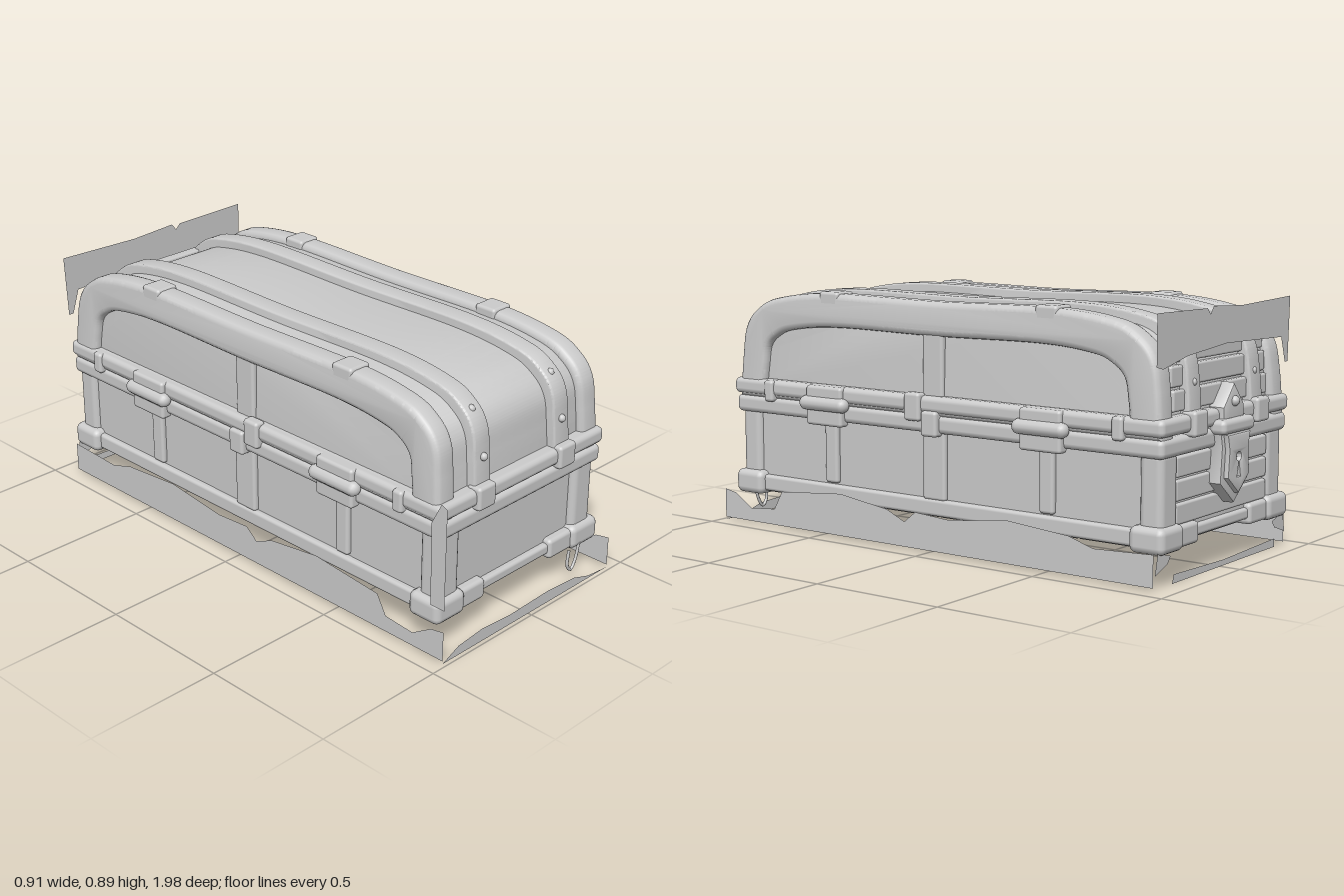
import * as THREE from 'three';
import { RoundedBoxGeometry } from 'three/addons/geometries/RoundedBoxGeometry.js';
import { toCreasedNormals } from 'three/addons/utils/BufferGeometryUtils.js';

const mat = new THREE.MeshStandardMaterial({ color: 0xcccccc });
const thin = new THREE.MeshStandardMaterial({ color: 0xcccccc, side: THREE.DoubleSide });

// Lid arch, as [z, y]
const ARCH = [[0.925, 0.5], [0.915, 0.64], [0.9, 0.745], [0.85, 0.81], [0.75, 0.855], [0.5, 0.882], [0, 0.877],
  [-0.5, 0.882], [-0.75, 0.855], [-0.85, 0.81], [-0.905, 0.745], [-0.925, 0.64], [-0.935, 0.5]];

function archPoints(inset, yBase = 0.5) {
  return ARCH.map(([z, y]) => new THREE.Vector2(
    z * (1 - inset / 0.93), y === 0.5 ? yBase : 0.5 + (y - 0.5) * (1 - inset / 0.385)));
}

function archPath(Type, inset, yBase) {
  const pts = archPoints(inset, yBase);
  const path = new Type();
  path.moveTo(pts[0].x, pts[0].y);
  path.splineThru(pts.slice(1));
  path.closePath();
  return path;
}

export function createModel() {
  const model = new THREE.Group();

  function add(name, geometry, x = 0, y = 0, z = 0, material = mat) {
    const mesh = new THREE.Mesh(geometry, material);
    mesh.name = name;
    mesh.position.set(x, y, z);
    model.add(mesh);
    return mesh;
  }
  // Rounded block given by its extents
  function block(name, x0, x1, y0, y1, z0, z1, r = 0.012) {
    const w = x1 - x0, h = y1 - y0, d = z1 - z0;
    const g = new RoundedBoxGeometry(w, h, d, 2, Math.min(r, w / 2.1, h / 2.1, d / 2.1));
    return add(name, g, (x0 + x1) / 2, (y0 + y1) / 2, (z0 + z1) / 2);
  }
  // Same block on both sides of the chest
  function pair(name, x0, x1, ...rest) {
    block(name, x0, x1, ...rest);
    block(name, -x1, -x0, ...rest);
  }
  // Slab of the lid arch between two x positions, narrowing slightly upward
  function archSlab(name, x0, x1, inset, hole, bevel) {
    const shape = archPath(THREE.Shape, inset + bevel);
    if (hole) shape.holes.push(archPath(THREE.Path, hole, 0.53));
    const g = new THREE.ExtrudeGeometry(shape, {
      depth: x1 - x0 - 2 * bevel, bevelEnabled: bevel > 0, bevelSize: bevel,
      bevelThickness: bevel, bevelSegments: 3, curveSegments: 48,
    });
    g.rotateY(-Math.PI / 2);
    g.translate(x1 - bevel, 0, 0);
    const p = g.attributes.position;
    for (let i = 0; i < p.count; i++) p.setX(i, p.getX(i) * (1 - 0.09 * Math.max(0, p.getY(i) - 0.5)));
    add(name, toCreasedNormals(g, 0.7));
  }

  // Lid
  archSlab('lidCore', -0.385, 0.385, 0.025, 0, 0.012);
  for (const s of [-1, 1]) {
    const slab = (name, a, b, ...r) => archSlab(name, Math.min(s * a, s * b), Math.max(s * a, s * b), ...r);
    slab('lidEdgeBand', 0.325, 0.415, 0, 0.1, 0.022);
    slab('lidStrap', 0.165, 0.245, -0.008, 0, 0.008);
  }
  block('lidRim', -0.422, 0.422, 0.49, 0.55, -0.95, 0.945, 0.02);
  block('bodyRim', -0.415, 0.415, 0.42, 0.485, -0.945, 0.94, 0.02);

  // Lower body
  block('body', -0.38, 0.38, 0.13, 0.5, -0.915, 0.9, 0.01);
  for (const z of [-1, 1]) {
    const span = (a, b) => (z > 0 ? [a, b] : [-b - 0.01, -a - 0.01]);
    pair('cornerPost', 0.295, 0.4, 0.13, 0.44, ...span(0.835, 0.925), 0.025);
    pair('cornerFoot', 0.28, 0.425, 0.11, 0.2, ...span(0.81, 0.945), 0.025);
    pair('endBase', 0.17, 0.4, 0.115, 0.19, ...span(0.86, 0.932), 0.015);
    block('endTrim', -0.18, 0.18, 0.135, 0.175, ...span(0.86, 0.922));
    pair('strapEnd', 0.165, 0.25, 0.475, 0.56, ...span(0.9, 0.958));
    for (const y of [0.65, 0.8]) for (const s of [-1, 1]) {
      add('strapRivet', new THREE.SphereGeometry(0.014, 12, 8), s * 0.2, y, z * (y > 0.7 ? 0.865 : 0.925));
    }
  }
  pair('sideBase', 0.36, 0.402, 0.125, 0.185, -0.9, 0.9);

  // Floor planks
  for (let i = 0; i < 6; i++) {
    const z = -0.89 + i * 0.295;
    block('floorPlank', -0.375, 0.375, 0.118, 0.14, z, z + 0.288, 0.004);
  }

  // Side straps, lid tabs and hinges
  pair('sideStrap', 0.36, 0.398, 0.18, 0.43, -0.05, 0.05);
  pair('lidSideStrap', 0.36, 0.396, 0.54, 0.81, -0.04, 0.05);
  pair('middleClasp', 0.39, 0.435, 0.46, 0.56, 0.035, 0.105);
  pair('middleClasp', 0.39, 0.435, 0.41, 0.5, -0.04, 0.03);
  for (const z of [-0.48, 0.48]) {
    pair('hingeStrap', 0.36, 0.398, 0.19, 0.43, z - 0.03, z + 0.03);
    pair('hingePlate', 0.39, 0.437, 0.405, 0.55, z - 0.085, z + 0.085);
    pair('lidTab', 0.31, 0.402, 0.77, 0.89, z - 0.045, z + 0.045);
    for (const s of [-1, 1]) {
      const barrel = add('hingeBarrel', new THREE.CapsuleGeometry(0.027, 0.17, 6, 12), s * 0.43, 0.485, z);
      barrel.rotation.x = Math.PI / 2;
    }
  }
  for (const z of [-0.78, 0.76]) pair('rimClip', 0.39, 0.432, 0.47, 0.55, z - 0.022, z + 0.022);

  // Horizontal planks on the back
  for (let i = 0; i < 3; i++) {
    const y = 0.19 + i * 0.078;
    block('backPlank', -0.3, 0.3, y, y + 0.07, -0.93, -0.9, 0.008);
    block('lidBackPlank', -0.31, 0.31, y + 0.37, y + 0.44, -0.92 + i * 0.01, -0.86, 0.008);
  }

  // Lock: shield plates, hasp and keyhole facing the back
  function plate(name, points, z0, depth, holes = []) {
    const shape = new THREE.Shape(points.map(([x, y]) => new THREE.Vector2(x, y)));
    shape.holes.push(...holes);
    const g = new THREE.ExtrudeGeometry(shape, {
      depth, bevelSize: 0.008, bevelThickness: 0.008, bevelSegments: 2,
    });
    g.rotateY(Math.PI);
    add(name, toCreasedNormals(g, 0.6), 0, 0, z0);
  }
  const shield = (k) => [[0, -0.14], [0.085, -0.07], [0.075, 0.05], [0.09, 0.11], [-0.09, 0.11], [-0.075, 0.05], [-0.085, -0.07]]
    .map(([x, y]) => [x * k, 0.375 + y * k]);
  const keyhole = new THREE.Path();
  keyhole.absarc(0, 0.385, 0.022, -1.2, Math.PI + 1.2, false);
  keyhole.lineTo(-0.018, 0.31);
  keyhole.lineTo(0.018, 0.31);
  keyhole.closePath();
  plate('lockBack', shield(1), -0.92, 0.045);
  plate('lockFace', shield(0.75), -0.965, 0.018, [keyhole]);
  plate('hasp', [[-0.06, 0.46], [0.06, 0.46], [0.06, 0.55], [0, 0.62], [-0.06, 0.55]], -0.915, 0.045);
  block('haspBar', -0.105, 0.105, 0.465, 0.515, -0.993, -0.93, 0.018);
  add('haspStud', new THREE.SphereGeometry(0.018, 12, 8), 0, 0.57, -0.968);

  // Ragged thin sheets standing around the chest
  function sheet(name, points, position, alongZ = false) {
    const shape = new THREE.Shape(points.map(([u, y]) => new THREE.Vector2(u, y)));
    const g = new THREE.ShapeGeometry(shape);
    if (alongZ) g.rotateY(-Math.PI / 2);
    add(name, g, ...position, thin);
  }
  const sideEdge = [[0.985, 0.01], [0.985, 0.12], [0.93, 0.11], [0.85, 0.06], [0.73, 0.07], [0.69, 0.14], [0.4, 0.165],
    [0.18, 0.135], [0.1, 0.1], [0.05, 0.14], [-0.1, 0.13], [-0.35, 0.16], [-0.6, 0.14], [-0.7, 0.11], [-0.93, 0.12], [-0.93, 0.01]];
  for (const x of [-0.438, 0.438]) sheet('sideSkirt', sideEdge, [x, 0, 0], true);
  sheet('cornerScrap', [[0.985, 0.2], [0.985, 0.57], [0.96, 0.58], [0.92, 0.5], [0.925, 0.2]], [-0.438, 0, 0], true);
  sheet('frontSkirt', [[-0.438, 0], [-0.36, 0.035], [-0.24, 0.048], [-0.1, 0.038], [0.1, 0.045], [0.25, 0.035], [0.33, 0.01], [0.438, 0]],
    [0, 0, 0.985]);
  sheet('backSkirt', [[-0.36, 0.005], [-0.36, 0.035], [0, 0.025], [0.32, 0.035], [0.33, 0.005]], [0, 0, -0.935]);
  for (const s of [-1, 1]) {
    sheet('backCornerScrap', [[0.435, 0.05], [0.42, 0.12], [0.34, 0.1], [0.36, 0.075]].map(([x, y]) => [s * x, y]), [0, 0, -0.935]);
  }
  sheet('topFlap', [[-0.44, 0.89], [-0.43, 0.66], [-0.41, 0.66], [-0.38, 0.75], [0, 0.76], [0.25, 0.74], [0.4, 0.71], [0.44, 0.72],
    [0.44, 0.89], [0.13, 0.885], [0.11, 0.865], [0.09, 0.89], [-0.1, 0.88]], [0, 0, -0.935]);

  // Hanging loop below the front
  const loop = new THREE.CatmullRomCurve3([[0.27, 0.12], [0.265, 0.06], [0.285, 0.035], [0.31, 0.07], [0.325, 0.14]]
    .map(([x, y]) => new THREE.Vector3(x, y, 0.94)));
  add('hangingLoop', new THREE.TubeGeometry(loop, 20, 0.006, 6));

  return model;
}
